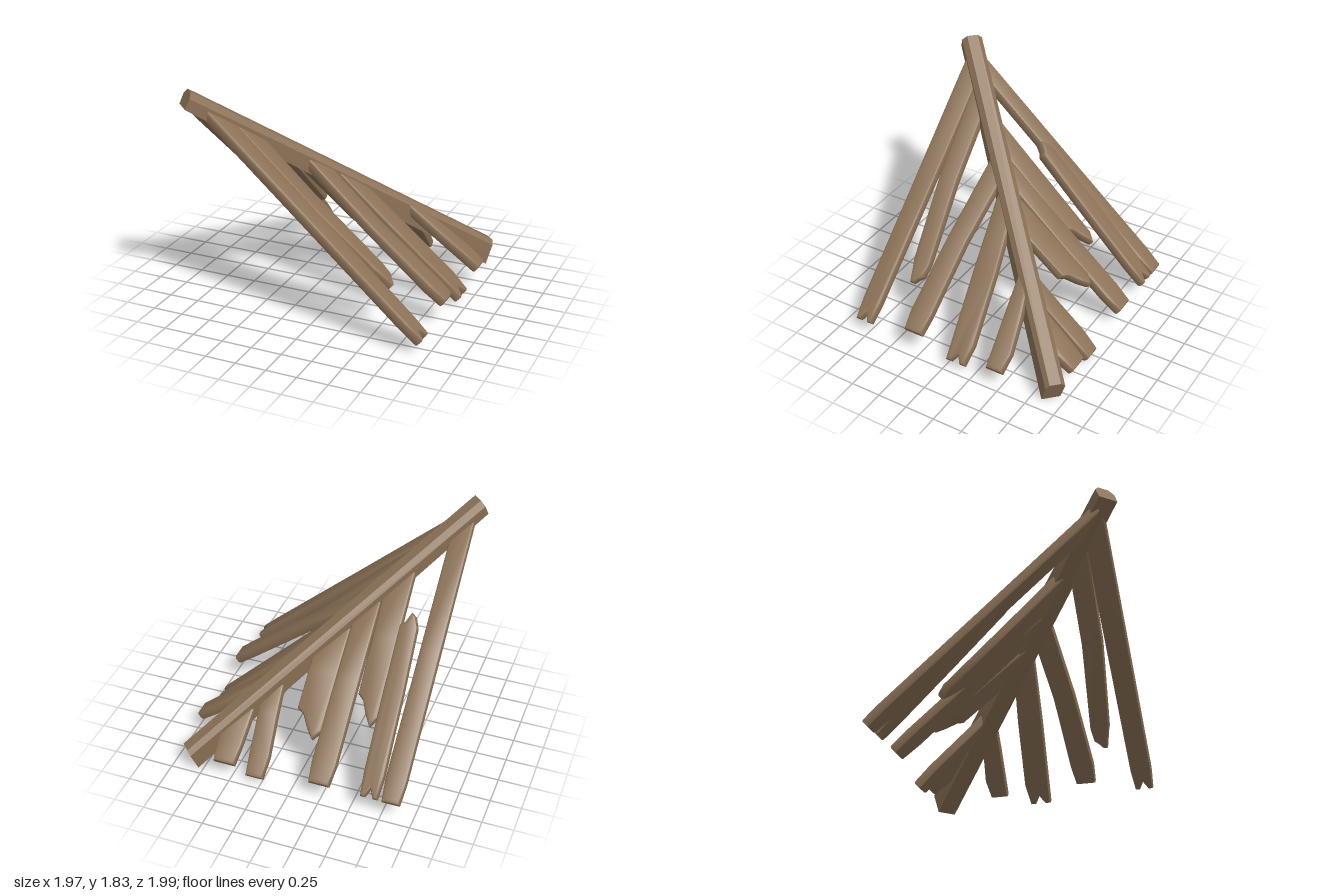
import * as THREE from 'three';
import { toCreasedNormals } from 'three/addons/utils/BufferGeometryUtils.js';

const wood = new THREE.MeshStandardMaterial({ color: 0x8b7156 });
wood.name = 'weathered wood';

const THICK = 0.085, BEVEL = 0.022;

// End cuts: setbacks spread evenly across the plank's width
const SQUARE = [0, 0];
const NOTCHED = [0, 0, 0.05, 0, 0];
const SPLINTERED = [0.06, 0, 0.06, 0.14, 0.17];

// Plan outline between two stations { along, across, width }.
// The head is cut parallel to the ridge unless it has its own setbacks.
function planOutline(head, tail, cut, bend, headCut) {
  const dir = Math.sign(tail.along - head.along);
  const knee = tail.along - dir * 0.13;
  const mid = (head.along + knee) / 2;
  const midAcross = (head.across + tail.across) / 2 + bend;
  const midWidth = (head.width + tail.width) / 2;
  const spread = (list, station, scale, sign) => list.map((back, i) => [
    station.along - sign * dir * back,
    station.across + station.width * scale * (i / (list.length - 1) - 0.5),
  ]);
  const headEdge = headCut
    ? spread(headCut, head, 0.9, -1)
    : [-0.5, 0.5].map(s => [head.along - s * head.width, head.across + s * head.width]);
  const isBroken = cut === SPLINTERED;
  const side = s => [
    [mid, midAcross + s * midWidth / 2],
    ...(isBroken ? [] : [[knee, tail.across + s * tail.width / 2]]),
  ];
  return [
    ...headEdge.reverse(),
    ...side(-1),
    ...spread(cut, tail, isBroken ? 1 : 0.83, 1),
    ...side(1).reverse(),
  ];
}

// A sloping plank. Head and tail are [along, height, across, width];
// leftward planks run along +x, the others along -z.
function plank(name, leftward, headSpec, tailSpec, { cut = SQUARE, bend = 0, headCut } = {}) {
  const [head, tail] = [headSpec, tailSpec].map(([along, y, across, width]) => ({ along, y, across, width }));
  const dir = leftward ? 1 : -1;
  const outline = planOutline(head, tail, cut, bend, headCut);
  const shape = new THREE.Shape(outline.map(([a, c]) => new THREE.Vector2(a * dir, -c)));
  const geo = new THREE.ExtrudeGeometry(shape, {
    depth: THICK - 2 * BEVEL, bevelEnabled: true, bevelThickness: BEVEL,
    bevelSize: BEVEL, bevelOffset: -BEVEL, bevelSegments: 2,
  });
  // Tilt the slab onto its slope
  const slope = (tail.y - head.y) / ((tail.along - head.along) * dir);
  const len = Math.hypot(1, slope);
  const p = geo.attributes.position;
  for (let i = 0; i < p.count; i++) {
    const u = p.getX(i), v = p.getY(i), w = p.getZ(i) + BEVEL - THICK / 2;
    const along = u - slope / len * w;
    const y = head.y + slope * (u - head.along * dir) + w / len;
    if (leftward) p.setXYZ(i, along, y, -v);
    else p.setXYZ(i, -v, y, -along);
  }
  const mesh = new THREE.Mesh(toCreasedNormals(geo, 0.7), wood);
  mesh.name = name;
  return mesh;
}

// Six-sided ridge beam lofted between its two end sections.
// Each section row is [centre x, y, centre z, half width].
function ridgeBeam() {
  const high = [[-0.94, 1.71, 0.935, 0.08], [-0.915, 1.79, 0.905, 0.085], [-0.9, 1.83, 0.89, 0.045]];
  const low = [[0.845, 0, -0.89, 0.075], [0.88, 0.16, -0.945, 0.078], [0.89, 0.195, -0.95, 0.045]];
  const corner = ([x, y, z, h], s) => [x + s * h * Math.SQRT1_2, y, z + s * h * Math.SQRT1_2];
  const ring = rows => [...rows.map(r => corner(r, 1)), ...rows.map(r => corner(r, -1)).reverse()];
  const n = 6, idx = [];
  for (let i = 0; i < n; i++) {
    const j = (i + 1) % n;
    idx.push(i, n + i, j, j, n + i, n + j);
    if (i > 0 && i < n - 1) idx.push(0, i, i + 1, n, n + i + 1, n + i);
  }
  const geo = new THREE.BufferGeometry();
  geo.setAttribute('position', new THREE.Float32BufferAttribute([...ring(high), ...ring(low)].flat(), 3));
  geo.setIndex(idx);
  const mesh = new THREE.Mesh(toCreasedNormals(geo, 0.6), wood);
  mesh.name = 'ridgeBeam';
  return mesh;
}

export function createModel() {
  const model = new THREE.Group();
  model.name = 'collapsedRoofFrame';
  model.add(ridgeBeam());

  // Planks sloping down to the left
  model.add(
    plank('leftPlank1', true, [-0.74, 1.6, 0.785, 0.18], [0.94, 0.1, 0.785, 0.17], { cut: NOTCHED }),
    plank('leftPlank2', true, [-0.6, 1.47, 0.62, 0.18], [0.585, 0.35, 0.53, 0.155],
      { cut: [0.05, 0.03, 0, 0, 0.1], bend: 0.025 }),
    plank('leftPlank3', true, [-0.2, 1.12, 0.215, 0.16], [0.95, 0.2, 0.295, 0.19], { bend: 0.02 }),
    plank('leftPlank4', true, [-0.02, 0.96, 0.02, 0.2], [0.94, 0.055, -0.09, 0.2], { cut: NOTCHED }),
    plank('leftPlank5', true, [0.38, 0.61, -0.385, 0.13], [0.96, 0.155, -0.455, 0.17]),
  );

  // Planks sloping down to the back
  model.add(
    plank('backPlank1', false, [0.76, 1.6, -0.83, 0.16], [-0.94, 0.135, -0.825, 0.17]),
    plank('backPlank2', false, [0.1, 1.18, -0.635, 0.16], [-0.94, 0.14, -0.65, 0.165],
      { cut: NOTCHED, headCut: [0.08, 0.02, 0, 0.06, 0.08] }),
    plank('backPlank3', false, [0.42, 1.3, -0.445, 0.21], [-0.5, 0.455, -0.45, 0.2], { cut: SPLINTERED }),
    plank('backPlank4', false, [0.22, 1.12, -0.25, 0.18], [-0.94, 0.145, -0.24, 0.2]),
    plank('backPlank5', false, [0.03, 0.94, -0.035, 0.24], [-0.7, 0.365, -0.035, 0.24], { cut: SPLINTERED }),
    plank('backPlank6', false, [-0.33, 0.63, 0.345, 0.16], [-0.94, 0.045, 0.305, 0.17]),
    plank('backPlank7', false, [-0.53, 0.46, 0.52, 0.18], [-0.95, 0.125, 0.555, 0.21]),
  );
  return model;
}
